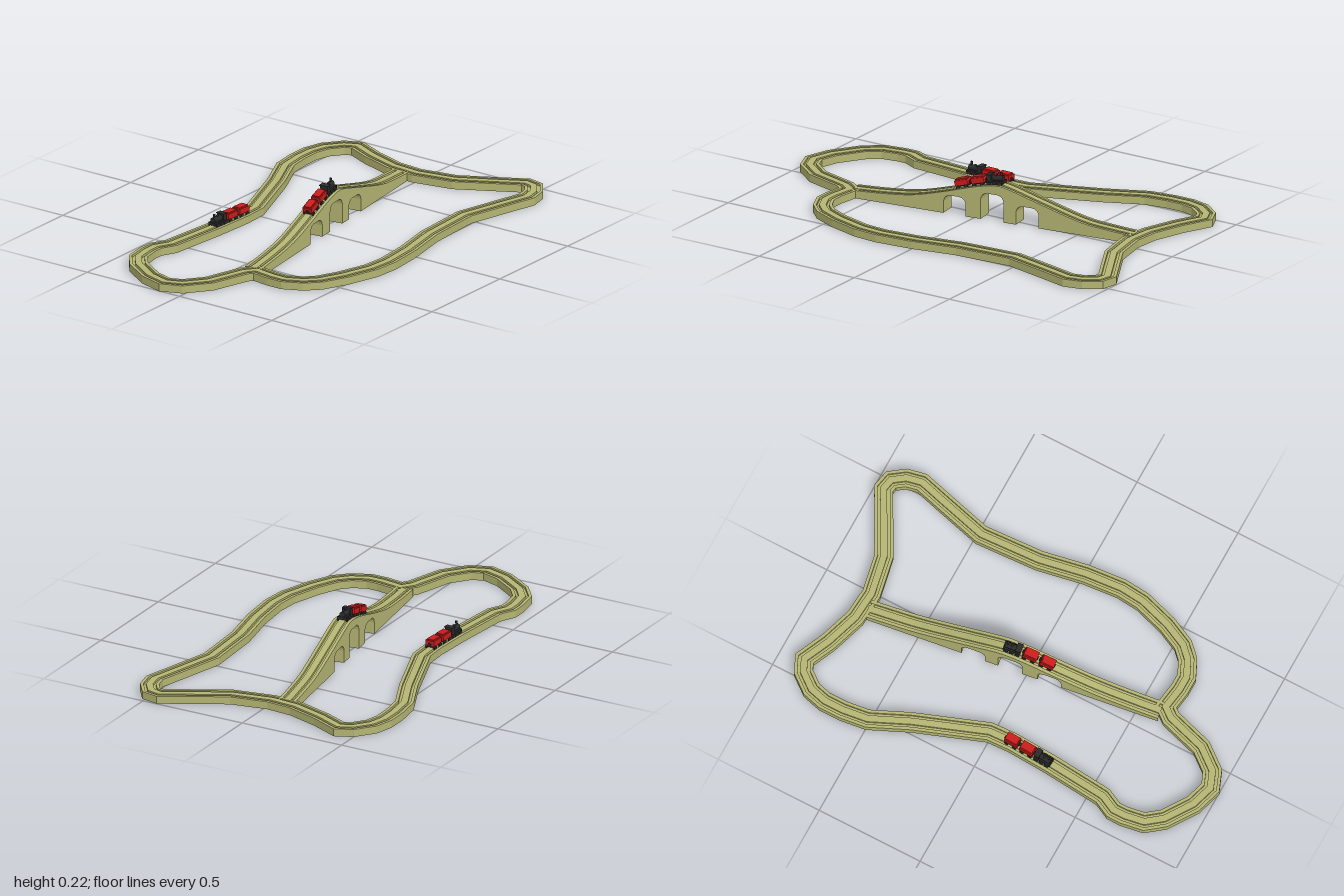
import * as THREE from 'three';

const mat = (color, extra = {}) => new THREE.MeshStandardMaterial({ color, ...extra });
const trackMat = mat(0xb5b673, { flatShading: true, side: THREE.DoubleSide });
const black = mat(0x2b2b2b), red = mat(0xcc1c1c);

// Loop centre line, clockwise from the left end: x, z
const LOOP = [
  -.96, -.11, -.93, -.21, -.85, -.33, -.78, -.385, -.69, -.4, -.635, -.4, -.565, -.365, -.29, -.34,
  -.1, -.33, .013, -.335, .335, -.455, .51, -.535, .625, -.55, .715, -.55, .79, -.53, .86, -.475,
  .885, -.42, .83, -.3, .78, -.145, .77, -.015, .805, .165, .87, .285, .955, .44, .945, .49,
  .89, .53, .82, .545, .69, .51, .48, .455, .2, .47, -.01, .51, -.18, .525, -.29, .515,
  -.435, .47, -.54, .42, -.59, .37, -.625, .295, -.625, .23, -.61, .13, -.655, .095, -.835, .04, -.93, -.035,
];
const W = .041, H = .035; // half width and height of the track

// Top of the track: two wheel grooves between flat rims, as [across, up]
const half = [[W, 0], [.027, 0], [.027, -.01], [.015, -.01], [.015, 0]];
const DECK = [...half.map(([u, v]) => [-u, v]), ...half.slice().reverse()];

// Skin a list of equally long rows of points with quads
function skin(rows, closed = false) {
  const pos = [];
  const n = rows.length;
  for (let i = 0; i < (closed ? n : n - 1); i++) {
    const a = rows[i], b = rows[(i + 1) % n];
    for (let j = 0; j < a.length - 1; j++)
      pos.push(...a[j], ...a[j + 1], ...b[j], ...a[j + 1], ...b[j + 1], ...b[j]);
  }
  const g = new THREE.BufferGeometry();
  g.setAttribute('position', new THREE.Float32BufferAttribute(pos, 3));
  g.computeVertexNormals();
  return g;
}

function add(parent, name, geometry, material, x = 0, y = 0, z = 0) {
  const m = new THREE.Mesh(geometry, material);
  m.name = name;
  m.position.set(x, y, z);
  parent.add(m);
  return m;
}

// Closed loop: grooved top and side walls, open underneath, mitred at each corner
function loopTrack() {
  const pts = [];
  for (let i = 0; i < LOOP.length; i += 2) pts.push(new THREE.Vector2(LOOP[i], LOOP[i + 1]));
  const section = [[-W, -H], ...DECK, [W, -H]];
  const rows = pts.map((p, i) => {
    const d0 = p.clone().sub(pts[(i + pts.length - 1) % pts.length]).normalize();
    const d1 = pts[(i + 1) % pts.length].clone().sub(p).normalize();
    const t = d0.clone().add(d1).normalize();
    const k = Math.min(1 / t.dot(d1), 1.4);
    return section.map(([u, v]) => [p.x - t.y * u * k, H + v, p.y + t.x * u * k]);
  });
  return skin(rows, true);
}

// Bridge crest, along its own length
const CREST = new THREE.SplineCurve([
  [-.682, .035], [-.53, .043], [-.38, .06], [-.225, .1], [-.075, .145], [.015, .162],
  [.075, .158], [.227, .115], [.43, .06], [.56, .044], [.682, .035],
].map(p => new THREE.Vector2(...p))).getPoints(40);

function crestAt(x) {
  const i = Math.max(1, CREST.findIndex(p => p.x >= x));
  const a = CREST[i - 1], b = CREST[i];
  return a.y + (b.y - a.y) * (x - a.x) / (b.x - a.x);
}

// Arch outline from the left foot, over the top, to the right foot
function archPoints(x0, x1, top) {
  const r = .032, pts = [[x0, 0]];
  for (let i = 0; i <= 4; i++) {
    const a = Math.PI - i * Math.PI / 8;
    pts.push([x0 + r + r * Math.cos(a), top - r + r * Math.sin(a)]);
  }
  for (let i = 0; i <= 4; i++) {
    const a = Math.PI / 2 - i * Math.PI / 8;
    pts.push([x1 - r + r * Math.cos(a), top - r + r * Math.sin(a)]);
  }
  return [...pts, [x1, 0]];
}

function bridge() {
  const g = new THREE.Group();
  g.name = 'bridge';
  const arches = [[-.23, -.122, .085], [-.05, .062, .122], [.122, .232, .088]].map(a => archPoints(...a));
  add(g, 'bridgeDeck', skin(CREST.map(p => DECK.map(([u, v]) => [p.x, p.y + v, u]))), trackMat);
  const outline = [[-.682, 0], ...arches.flat(), [.682, 0], ...CREST.slice().reverse().map(p => [p.x, p.y])];
  const wall = new THREE.ShapeGeometry(new THREE.Shape(outline.map(p => new THREE.Vector2(...p))));
  add(g, 'bridgeFrontWall', wall, trackMat, 0, 0, W);
  add(g, 'bridgeBackWall', wall.clone().scale(-1, 1, 1).rotateY(Math.PI), trackMat, 0, 0, -W);
  for (const arch of arches)
    add(g, 'archLining', skin(arch.map(([x, y]) => [[x, y, W], [x, y, -W]])), trackMat);
  g.position.set(.075, 0, .011);
  g.rotation.y = Math.atan2(.188, 1.35);
  return g;
}

// Wheels resting in the grooves
function wheels(parent, xs, r) {
  for (const x of xs) for (const s of [-1, 1])
    add(parent, 'wheel', new THREE.CylinderGeometry(r, r, .007, 14).rotateX(Math.PI / 2), black, x, r - .008, s * .021);
}

const box = (w, h, d) => new THREE.BoxGeometry(w, h, d);
const tube = (r0, r1, h) => new THREE.CylinderGeometry(r0, r1, h, 14);

function locomotive() {
  const g = new THREE.Group();
  g.name = 'locomotive';
  add(g, 'chassis', box(.078, .009, .036), black, 0, .011);
  add(g, 'boiler', tube(.0135, .0135, .052).rotateZ(Math.PI / 2), black, .012, .025);
  add(g, 'cab', box(.022, .027, .036), black, -.026, .028);
  add(g, 'cabRoof', box(.027, .004, .042), black, -.026, .043);
  add(g, 'chimney', tube(.006, .004, .018), black, .028, .043);
  add(g, 'steamDome', new THREE.SphereGeometry(.006, 12, 8), black, .006, .038);
  add(g, 'buffer', box(.005, .012, .042), black, .04, .01);
  wheels(g, [-.026, 0, .026], .011);
  return g;
}

function wagon() {
  const g = new THREE.Group();
  g.name = 'wagon';
  add(g, 'wagonChassis', box(.066, .006, .03), black, 0, .008);
  add(g, 'wagonBody', box(.064, .025, .044), red, 0, .022);
  add(g, 'wagonLid', box(.056, .006, .034), red, 0, .037);
  for (const s of [-1, 1])
    add(g, 'coupling', tube(.008, .008, .006).rotateZ(Math.PI / 2), black, s * .034, .016);
  wheels(g, [-.02, .02], .01);
  return g;
}

// A locomotive with two wagons; height gives the ground under each vehicle
function train(name, x0, height) {
  const g = new THREE.Group();
  g.name = name;
  [locomotive(), wagon(), wagon()].forEach((v, i) => {
    const x = x0 - i * .078, a = height(x - .03), b = height(x + .03);
    v.position.set(x, (a + b) / 2, 0);
    v.rotation.z = Math.atan2(b - a, .06);
    g.add(v);
  });
  return g;
}

export function createModel() {
  const model = new THREE.Group();
  model.name = 'railway';
  add(model, 'loopTrack', loopTrack(), trackMat);
  const span = bridge();
  span.add(train('bridgeTrain', .008, crestAt));
  model.add(span);
  const back = train('loopTrain', 0, () => H);
  back.position.set(-.255, 0, -.338);
  back.rotation.y = Math.PI - .05;
  model.add(back);
  return model;
}
